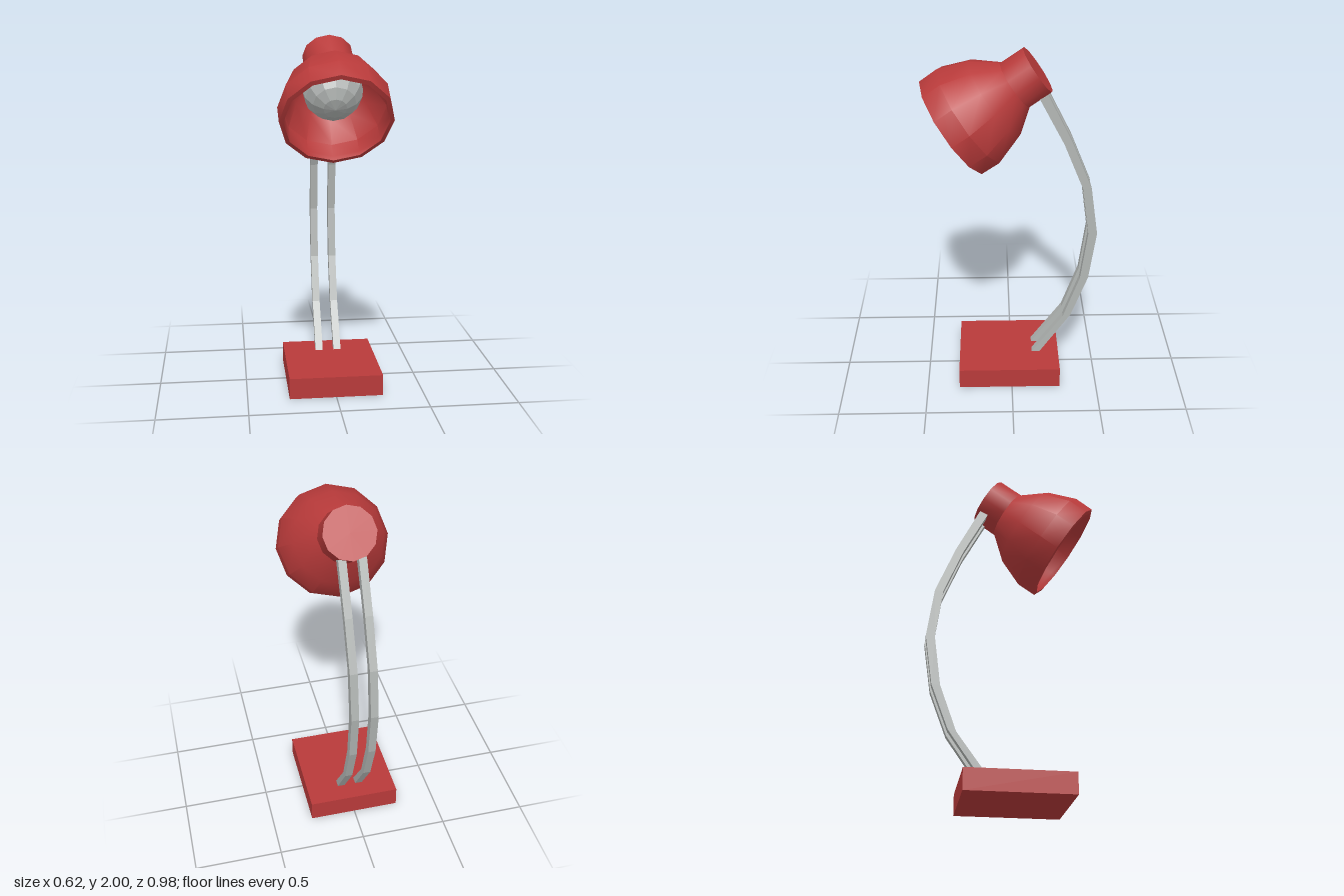
import * as THREE from 'three';
import { toCreasedNormals } from 'three/addons/utils/BufferGeometryUtils.js';

export function createModel() {
  const lamp = new THREE.Group();
  lamp.name = 'deskLamp';

  const red = new THREE.MeshStandardMaterial({ color: 0xb83a3a });
  red.name = 'red enamel';
  const grey = new THREE.MeshStandardMaterial({ color: 0xb2b6b4 });
  grey.name = 'pale grey';

  const add = (parent, name, geometry, material) => {
    const mesh = new THREE.Mesh(geometry, material);
    mesh.name = name;
    parent.add(mesh);
    return mesh;
  };

  // Square base
  add(lamp, 'base', new THREE.BoxGeometry(0.53, 0.12, 0.595), red).position.set(0, 0.06, 0.014);

  // Two bowed arms: a side outline (z, y) extruded across x
  const back = [[-0.157, 0.1], [-0.353, 0.382], [-0.449, 0.638], [-0.49, 0.928],
    [-0.449, 1.214], [-0.335, 1.492], [-0.197, 1.765]];
  const front = [[-0.109, 0.1], [-0.307, 0.372], [-0.401, 0.634], [-0.44, 0.928],
    [-0.401, 1.21], [-0.29, 1.48], [-0.152, 1.742]];
  const outline = [...back, ...front.reverse()].map(([z, y]) => new THREE.Vector2(z, y));
  const armWidth = 0.043;
  const armGeometry = new THREE.ExtrudeGeometry(new THREE.Shape(outline), {
    depth: armWidth, bevelEnabled: false,
  });
  armGeometry.translate(0, 0, -armWidth / 2).rotateY(-Math.PI / 2);
  for (const [name, side] of [['leftArm', 1], ['rightArm', -1]]) {
    add(lamp, name, armGeometry, grey).position.x = side * 0.0545;
  }

  // Tilted head, built along its own y axis from the cap to the opening
  const head = new THREE.Group();
  head.name = 'head';
  head.position.set(0, 1.8825, -0.1425);
  head.rotation.x = 2.176;
  lamp.add(head);

  // Shade: cap, neck, flared bell, rim and inner wall
  const profile = [
    [0, 0], [0.144, 0], [0.145, 0.148], [0.25, 0.28], [0.311, 0.442], [0.309, 0.557],
    [0.285, 0.562], [0.28, 0.535], [0.283, 0.44], [0.225, 0.285], [0.15, 0.19], [0, 0.18],
  ].map(([r, y]) => new THREE.Vector2(r, y));
  add(head, 'shade', toCreasedNormals(new THREE.LatheGeometry(profile, 12), 0.6), red);

  // Faceted bulb with its pole on the head's axis
  const bulbGeometry = new THREE.SphereGeometry(0.168, 12, 8).toNonIndexed();
  bulbGeometry.computeVertexNormals();
  add(head, 'bulb', bulbGeometry, grey).position.y = 0.305;

  return lamp;
}
